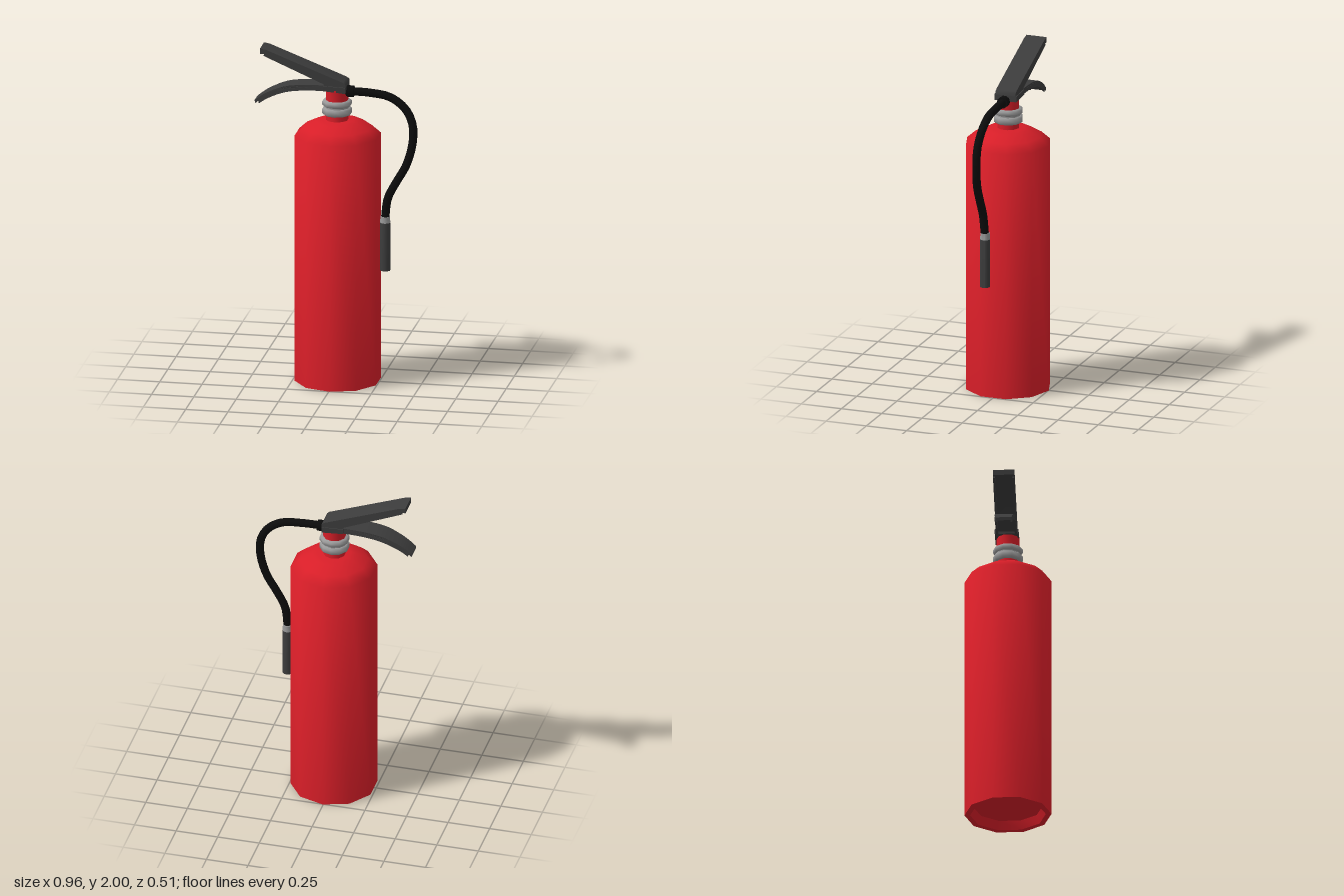
import * as THREE from 'three';
import { toCreasedNormals } from 'three/addons/utils/BufferGeometryUtils.js';

const mat = (color) => new THREE.MeshStandardMaterial({ color });
const RED = mat(0xd81e28), DARK = mat(0x3c3c3c), BLACK = mat(0x0c0c0c), SILVER = mat(0x9a9a9a);

export function createModel() {
  const model = new THREE.Group();

  const add = (name, geometry, material, parent = model) => {
    const mesh = new THREE.Mesh(toCreasedNormals(geometry, 1.0), material);
    mesh.name = name;
    parent.add(mesh);
    return mesh;
  };
  // Ten-sided turned part from [radius, height] pairs, bottom to top
  const turned = (name, profile, material, sides = 10) =>
    add(name, new THREE.LatheGeometry(profile.map(([r, y]) => new THREE.Vector2(r, y)), sides), material);
  // Side outline extruded between two z values, with an optional width taper along x
  const slab = (name, outline, z0, z1, parent, taper) => {
    const shape = new THREE.Shape(outline.map(([x, y]) => new THREE.Vector2(x, y)));
    const geo = new THREE.ExtrudeGeometry(shape, { depth: z1 - z0, bevelEnabled: false });
    geo.translate(0, 0, z0);
    if (taper) {
      const p = geo.attributes.position;
      for (let i = 0; i < p.count; i++) p.setZ(i, p.getZ(i) * taper(p.getX(i)));
    }
    return add(name, geo, DARK, parent);
  };

  // Cylinder with a recessed base and rounded shoulder
  turned('tank', [
    [0, 0.05], [0.2, 0.05], [0.22, 0], [0.253, 0], [0.253, 1.49],
    [0.2, 1.537], [0.13, 1.572], [0.1, 1.58], [0, 1.58],
  ], RED).position.x = 0.004;
  turned('neck', [[0.066, 1.57], [0.066, 1.77], [0, 1.77]], RED);

  // Two collars with softened rims
  for (const [name, y0, y1] of [['lowerCollar', 1.612, 1.655], ['upperCollar', 1.665, 1.7]]) {
    turned(name, [
      [0, y0], [0.078, y0], [0.087, y0 + 0.008], [0.087, y1 - 0.008], [0.078, y1], [0, y1],
    ], SILVER);
  }
  turned('collarSpacer', [[0.073, 1.65], [0.073, 1.67]], SILVER);

  // Valve bracket
  slab('valveBracket', [[-0.07, 1.765], [0.06, 1.755], [0.06, 1.79], [-0.07, 1.795]], -0.074, 0.064, model);

  // Squeeze lever: folded channel with a top plate and two side flanges
  const lever = new THREE.Group();
  lever.name = 'upperLever';
  model.add(lever);
  slab('leverPlate', [
    [-0.445, 1.968], [-0.41, 1.97], [0.035, 1.795], [0.04, 1.765], [0.06, 1.765],
    [0.06, 1.808], [0.045, 1.82], [-0.41, 1.994], [-0.445, 2],
  ], -0.069, 0.056, lever);
  for (const z of [-0.069, 0.044]) {
    slab('leverFlange', [
      [-0.425, 1.957], [-0.07, 1.805], [-0.05, 1.765], [0.055, 1.765], [0.055, 1.806], [-0.41, 1.985],
    ], z, z + 0.012, lever);
  }

  // Curved carrying handle, also a channel, narrowing to its tip
  const handle = new THREE.Group();
  handle.name = 'carryHandle';
  model.add(handle);
  const curve = new THREE.CatmullRomCurve3(
    [[-0.48, 1.68], [-0.42, 1.725], [-0.31, 1.775], [-0.2, 1.793], [-0.05, 1.798]]
      .map(([x, y]) => new THREE.Vector3(x, y, 0)));
  const top = curve.getPoints(12).map((p) => [p.x, p.y]);
  const below = (pts, d) => pts.map(([x, y]) => [x + d * 0.2, y - d]).reverse();
  const taper = (x) => THREE.MathUtils.clamp(1 + (x + 0.3) * 1.3, 0.76, 1);
  slab('handlePlate', [...below(top, 0.018), ...top], -0.06, 0.06, handle, taper);
  const inner = top.slice(1);
  for (const z of [-0.06, 0.048]) {
    slab('handleFlange', [...below(inner, 0.034), ...below(inner, 0.01).reverse()], z, z + 0.012, handle, taper);
  }
  handle.position.z = -0.005;

  // Hose with its valve fitting
  const fitting = add('hoseFitting', new THREE.CylinderGeometry(0.034, 0.034, 0.06, 10), BLACK);
  fitting.rotation.z = Math.PI / 2;
  fitting.position.set(0.07, 1.755, 0);
  const path = new THREE.CatmullRomCurve3([
    [0.05, 1.755, 0], [0.2, 1.752, 0], [0.32, 1.732, 0.005], [0.41, 1.665, 0.012],
    [0.45, 1.58, 0.02], [0.453, 1.48, 0.025], [0.418, 1.34, 0.034],
    [0.355, 1.225, 0.039], [0.308, 1.13, 0.039], [0.29, 1.0, 0.034],
  ].map((p) => new THREE.Vector3(...p)));
  add('hose', new THREE.TubeGeometry(path, 28, 0.024, 10), BLACK);

  // Discharge nozzle with a hollow mouth
  const nozzle = [
    turned('nozzleFerrule', [[0.03, 0.98], [0.028, 1.018], [0, 1.02]], SILVER),
    turned('nozzle', [
      [0, 0.74], [0.02, 0.74], [0.022, 0.69], [0.031, 0.69], [0.031, 0.97], [0.028, 0.985], [0, 0.985],
    ], DARK),
  ];
  for (const part of nozzle) part.position.set(0.291, 0, 0.033);

  return model;
}
